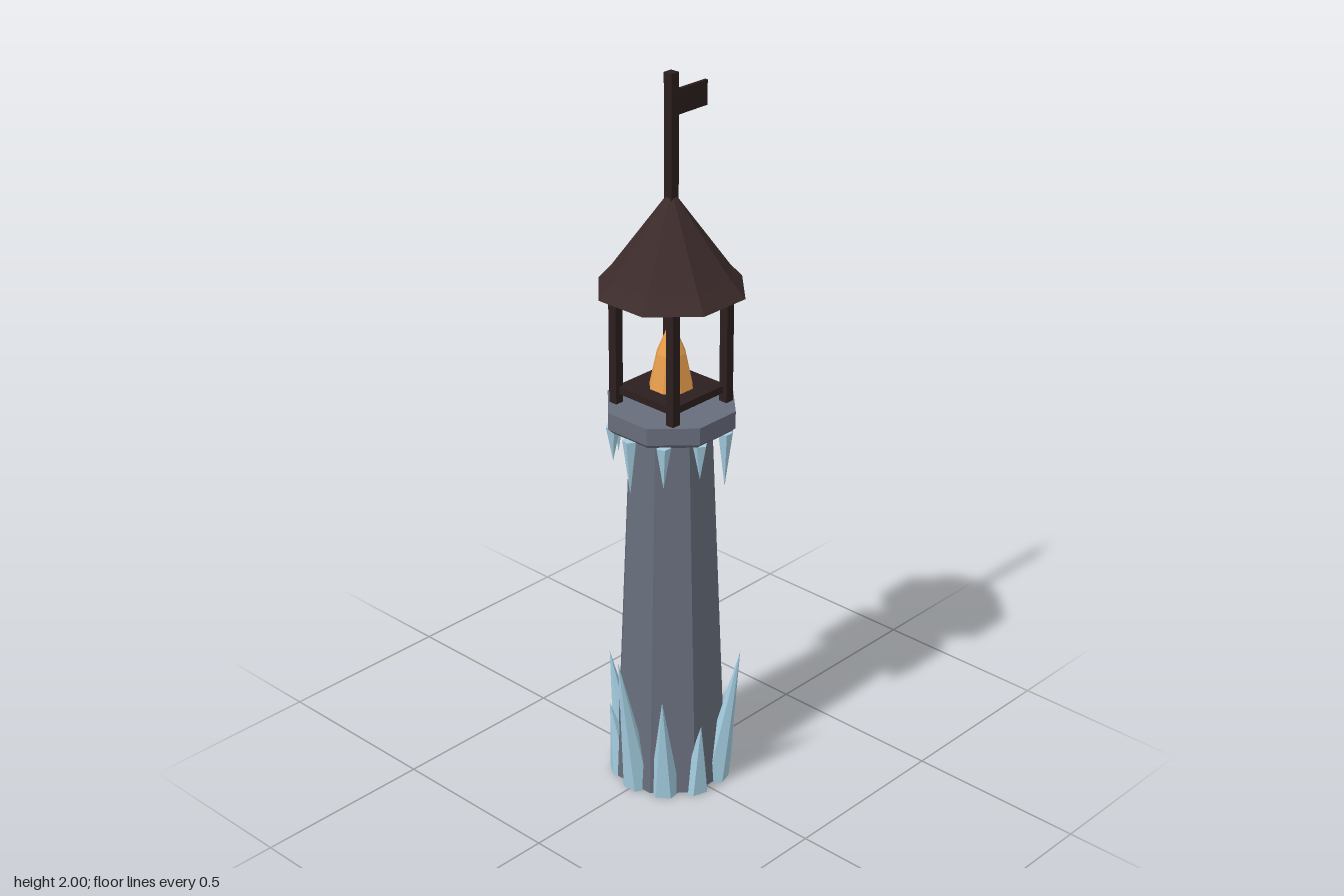
import * as THREE from 'three';

const mat = (name, color) => {
  const m = new THREE.MeshStandardMaterial({ color, flatShading: true });
  m.name = name;
  return m;
};

export function createModel() {
  const stone = mat('stone', 0x686d7c);
  const wood = mat('dark wood', 0x2c1f1e);
  const roofing = mat('roof shingle', 0x3c2b2b);
  const ice = mat('ice', 0xa4cde0);
  const fire = mat('flame', 0xeda24e);

  const model = new THREE.Group();
  model.name = 'frozenBeaconTower';
  const tower = new THREE.Group();
  tower.name = 'tower';
  tower.position.x = 0.01;
  model.add(tower);

  const add = (name, geometry, material, x = 0, y = 0, z = 0) => {
    const mesh = new THREE.Mesh(geometry, material);
    mesh.name = name;
    mesh.position.set(x, y, z);
    tower.add(mesh);
    return mesh;
  };

  // Octagonal solid with flats facing the axes; profile lists [apothem, y] from bottom to top
  const octagon = (profile) => {
    const points = profile.map(([a, y]) => new THREE.Vector2(a / Math.cos(Math.PI / 8), y));
    return new THREE.LatheGeometry(points, 8, Math.PI / 8);
  };

  // Stone shaft and lookout platform
  add('shaft', octagon([[0, 0.005], [0.148, 0.005], [0.105, 1.07], [0, 1.07]]), stone);
  add('platform', octagon([[0, 1.06], [0.15, 1.06], [0.163, 1.073], [0.163, 1.12], [0, 1.12]]), stone);

  // Corner posts
  for (const x of [-0.1, 0.1]) {
    for (const z of [-0.1, 0.1]) {
      add('post', new THREE.BoxGeometry(0.025, 0.33, 0.025), wood, x, 1.28, z);
    }
  }

  // Raised fire deck and flame
  add('fireDeck', new THREE.BoxGeometry(0.2, 0.02, 0.2), wood, 0, 1.155, 0);
  add('flame', octagon([[0, 1.16], [0.056, 1.16], [0.036, 1.26], [0, 1.352]]), fire);

  // Flared roof, closed underneath
  add('roof', octagon([[0, 1.435], [0.183, 1.435], [0.15, 1.475], [0, 1.7]]), roofing);

  // Flagpole and flag
  add('flagpole', new THREE.BoxGeometry(0.026, 0.33, 0.026), wood, 0, 1.835, 0);
  add('flag', new THREE.BoxGeometry(0.115, 0.065, 0.009), wood, 0.068, 1.92, 0);

  // Ice shard standing on y = 0 along +x, its tip sheared outward by lean
  const shard = (radius, length, lean) => {
    const g = new THREE.ConeGeometry(radius, length, 6).translate(0, length / 2, 0);
    const p = g.attributes.position;
    for (let i = 0; i < p.count; i++) p.setX(i, p.getX(i) + (lean * p.getY(i)) / length);
    return g;
  };

  // Ten shards around the base and ten icicles below the platform, in three repeating sizes
  for (let i = 0; i < 10; i++) {
    const angle = (i * Math.PI) / 5;
    const c = Math.cos(angle);
    const s = Math.sin(angle);

    const height = [0.22, 0.32, 0.42][i % 3];
    const spike = add('iceSpike', shard(0.042, height, height * 0.178), ice, 0.13 * c, 0, 0.13 * s);
    spike.rotation.y = -angle;

    const drop = [0.1, 0.12, 0.155][i % 3];
    const icicle = add('icicle', new THREE.ConeGeometry(0.02, drop, 5).rotateX(Math.PI),
      ice, 0.153 * c, 1.062 - drop / 2, 0.153 * s);
    icicle.rotation.y = -angle;
  }

  return model;
}
